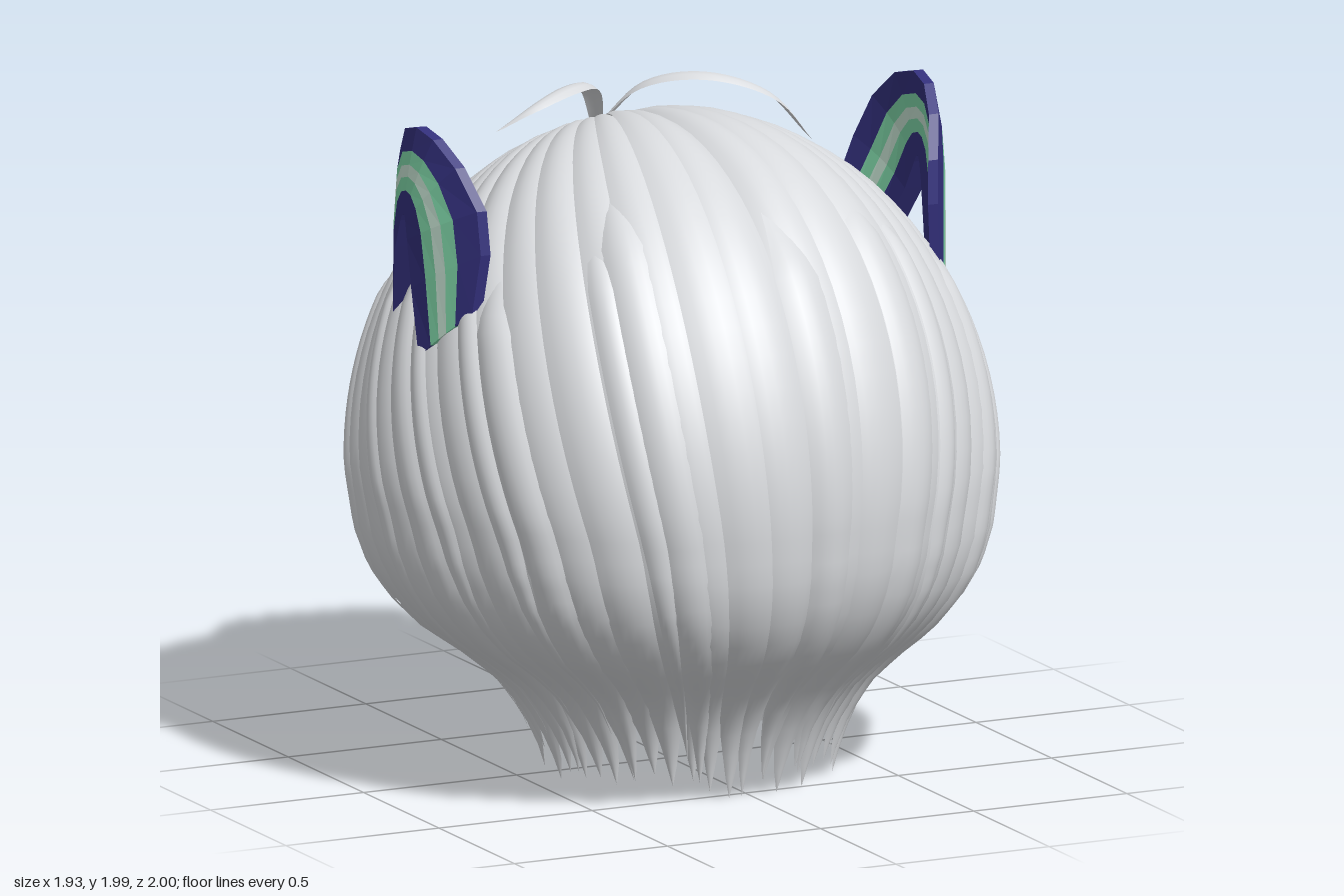
import * as THREE from 'three';
import { mergeGeometries } from 'three/addons/utils/BufferGeometryUtils.js';

const mat = (name, color) => {
  const m = new THREE.MeshStandardMaterial({ color, side: THREE.DoubleSide });
  m.name = name;
  return m;
};
const { lerp, smoothstep, clamp } = THREE.MathUtils;
const DEG = Math.PI / 180;

// small seeded random
let seed = 7;
const rand = () => (seed = (seed * 16807) % 2147483647) / 2147483647;

// linear lookup in a list of [input, output]
function lookup(table, x) {
  for (let i = 1; i < table.length; i++) {
    const [a, fa] = table[i - 1], [b, fb] = table[i];
    if (x <= b) return lerp(fa, fb, clamp((x - a) / (b - a), 0, 1));
  }
  return table[table.length - 1][1];
}

// radius factor by height below the widest ring
const TAPER = [[0, 0.45], [0.1, 0.47], [0.2, 0.51], [0.3, 0.58], [0.38, 0.68], [0.46, 0.8],
  [0.55, 0.89], [0.64, 0.95], [0.75, 0.985], [0.92, 1]];
// hem height by angle: 0 = nape, 180 = middle of the fringe
const HEM = [[0, 0.03], [116, 0.05], [120, 0.27], [138, 0.32], [147, 0.46], [157, 0.62], [168, 0.76], [180, 0.87]];

const MID = 0.92, SPLIT = 0.62;
const WHORL = new THREE.Vector3(0, 0.873, -0.488);
const offCentre = (th) => Math.abs(Math.atan2(Math.sin(th), Math.cos(th))) / DEG;
const frontness = (th) => smoothstep(offCentre(th), 110, 150);
const hemAt = (th) => lookup(HEM, offCentre(th));

// point on the hair: angle th, k = 0 at the whorl to 1 at the tip
function hairPoint(th, k, tip, lift) {
  const front = frontness(th), off = offCentre(th);
  const q = Math.min(1, k / SPLIT);
  // the fringe puffs out above the brow, the temples are drawn in
  const puff = smoothstep(off, 138, 172) * (0.08 * Math.sin(Math.PI * q) - 0.045 * q ** 4);
  const dent = 0.09 * q * Math.exp(-Math.pow((off - 138) / 15, 2));
  lift += puff - dent;
  th -= 0.18 * front * Math.pow(1 - k, 2);
  const p = new THREE.Vector3();
  if (k <= SPLIT) {
    const e = new THREE.Vector3(Math.sin(th), 0, Math.cos(th));
    const angle = WHORL.angleTo(e), a = angle * q;
    p.copy(WHORL).multiplyScalar(Math.sin(angle - a)).addScaledVector(e, Math.sin(a)).divideScalar(Math.sin(angle));
    const r = 1 + lift * Math.min(1, 0.15 + k * 3);
    const slim = 0.93 - 0.022 * Math.sin(Math.PI * q);
    return p.set(p.x * slim * r, MID + p.y * 1.01 * r, p.z * 0.96 * r);
  }
  const d = (k - SPLIT) / (1 - SPLIT);
  const y = lerp(MID, tip, d);
  let s = lookup(TAPER, y);
  s = lerp(s, 1 - (1 - s) * 0.7 - 0.1 * d * d, front);
  th -= (0.14 - 0.08 * front) * Math.sin(th) * (1 - Math.exp(-(MID - y) / 0.3));
  const r = s + lift;
  return p.set(Math.sin(th) * 0.93 * r, y, Math.cos(th) * 0.96 * r + 0.2 * (1 - s) * (1 - front));
}

// surface from a grid of points, rows running downward
function gridGeometry(rows, cols, fn) {
  const pos = [], index = [];
  for (let i = 0; i <= rows; i++)
    for (let j = 0; j <= cols; j++) pos.push(...fn(i / rows, j / cols).toArray());
  for (let i = 0; i < rows; i++)
    for (let j = 0; j < cols; j++) {
      const a = i * (cols + 1) + j, c = a + cols + 1;
      index.push(a, c, a + 1, a + 1, c, c + 1);
    }
  const g = new THREE.BufferGeometry();
  g.setAttribute('position', new THREE.Float32BufferAttribute(pos, 3));
  g.setIndex(index);
  g.computeVertexNormals();
  return g;
}

// one pointed, slightly domed lock of hair
function lock({ th, half, tip, lift = 0, bulge = 0.02, start = 0, tilt = 0.01, taper }) {
  const from = taper ?? lerp(0.9, 0.48, frontness(th));
  return gridGeometry(36, 6, (u, v) => {
    const k = lerp(start, 1, u), j = v * 2 - 1;
    let w = k > from ? Math.pow(1 - (k - from) / (1 - from), 0.8) : 1;
    if (start > 0) w *= Math.min(1, 0.08 + u * 7);
    const rise = start > 0 ? Math.min(1, u * 8) : 1;
    return hairPoint(th + j * half * w, k, tip, lift * rise + (bulge * (1 - j * j) + tilt * j) * w * rise);
  });
}

// tapered ribbon along a path, for loose strands
function ribbon(points, width) {
  const curve = new THREE.CatmullRomCurve3(points.map((p) => new THREE.Vector3(...p)));
  const up = new THREE.Vector3(0, 1, 0);
  return gridGeometry(24, 4, (u, v) => {
    const side = curve.getTangent(u).cross(up).normalize();
    const j = v * 2 - 1, w = width * Math.pow(Math.sin(Math.PI * lerp(0.12, 1, u)), 0.8);
    const p = curve.getPoint(u).addScaledVector(side, -j * w);
    p.y -= j * j * w * 0.5;
    return p;
  });
}

// ear arch: pairs of outer and inner edge points as [z, y, z, y]
const EAR = [[0.24, 1.47, 0.08, 1.32], [0.262, 1.65, 0.045, 1.52], [0.25, 1.78, 0.022, 1.66],
  [0.18, 1.9, 0.012, 1.71], [0.09, 1.97, 0.006, 1.73], [0, 1.99, 0, 1.735], [-0.1, 1.965, -0.01, 1.73],
  [-0.19, 1.88, -0.022, 1.71], [-0.25, 1.75, -0.07, 1.62], [-0.29, 1.61, -0.2, 1.38]];

// closed bar following the arch between width fractions v0 and v1
function earBand(v0, v1, side) {
  const corner = (row, v, face) => {
    const z = lerp(row[0], row[2], v), y = lerp(row[1], row[3], v);
    const x = 0.84 - 1.6 * z * z - 0.3 * Math.max(0, y - 1.68) ** 2 + face * (0.016 + 0.014 * v);
    return new THREE.Vector3(side * x, y, z);
  };
  const loop = [[v0, 1], [v1, 1], [v1, -1], [v0, -1], [v0, 1]];
  const n = EAR.length - 1;
  const order = side > 0 ? loop : [...loop].reverse();
  const body = gridGeometry(n, 4, (u, w) => corner(EAR[Math.round(u * n)], ...order[Math.round(w * 4)]));
  const cap = (row, flip) => gridGeometry(1, 1, (u, w) =>
    corner(row, u ? v1 : v0, (w ? 1 : -1) * flip * side));
  const g = mergeGeometries([body, cap(EAR[0], 1), cap(EAR[n], -1)]).toNonIndexed();
  g.computeVertexNormals();
  return g;
}

export function createModel() {
  const model = new THREE.Group();
  const hair = mat('silver hair', 0xd8dadd);
  const navy = mat('navy', 0x33307c);
  const mint = mat('mint', 0x7fd6a8);
  const pale = mat('pale mint', 0xc6e2d2);
  const add = (name, geo, material, parent = model) => {
    const m = new THREE.Mesh(geo, material);
    m.name = name;
    parent.add(m);
  };

  // smooth layer beneath the locks, open at the face
  add('underLayer', gridGeometry(40, 96, (u, v) => {
    const th = (v * 2 - 1) * Math.PI;
    return hairPoint(th, u * lerp(0.91, 0.46, frontness(th)), hemAt(th), -0.025);
  }), hair);

  // full ring of overlapping locks from the whorl to the hem
  const back = [], fringe = [];
  const N = 44;
  for (let i = 0; i < N; i++) {
    const th = ((i + 0.5) / N * 2 - 1) * Math.PI + (rand() - 0.5) * 0.04;
    const target = offCentre(th) > 118 ? fringe : back;
    target.push(lock({
      th, half: (4.8 + rand() * 1.4) * DEG, tip: Math.max(0.005, hemAt(th) + (rand() - 0.4) * 0.09),
      lift: rand() * 0.012, tilt: th > 0 ? 0.012 : -0.012,
    }));
  }
  add('backLocks', mergeGeometries(back), hair);

  // extra pointed locks over the fringe and face sides
  for (let i = 0; i < 13; i++) {
    const th = Math.PI + (i - 6) * 9.6 * DEG;
    fringe.push(lock({
      th, half: (3.5 + rand() * 2) * DEG, tip: hemAt(th) - 0.02 - rand() * 0.08,
      lift: 0.012, start: 0.04 + rand() * 0.1, taper: 0.48,
    }));
  }
  add('fringe', mergeGeometries(fringe), hair);

  // raised locks lying on the back and sides
  const raised = [[-25, 0.25], [3, 0.31], [22, 0.27], [-52, 0.34], [50, 0.34], [-78, 0.3], [75, 0.3]].map(([deg, start]) =>
    lock({ th: deg * DEG, half: 4 * DEG, tip: 0.06, lift: 0.022, bulge: 0.02, start, tilt: 0 }));
  add('raisedLocks', mergeGeometries(raised), hair);

  // thin loose strands around the lower sides
  const loose = [];
  for (const s of [-1, 1])
    for (const deg of [30, 58, 72, 90, 106, 124])
      loose.push(lock({
        th: s * deg * DEG, half: 2.4 * DEG, tip: 0.13 + rand() * 0.12, lift: 0.027,
        bulge: 0.012, start: 0.3, tilt: 0, taper: 0.65,
      }));
  add('looseStrands', mergeGeometries(loose), hair);

  // two springy strands rising from the whorl, and a lock swept across the brow
  add('leftCrownStrand', ribbon([[0, 1.81, -0.48], [0.1, 1.95, -0.38], [0.25, 1.985, -0.28],
    [0.43, 1.92, -0.21], [0.57, 1.76, -0.21]], 0.035), hair);
  add('rightCrownStrand', ribbon([[0, 1.81, -0.48], [-0.08, 1.96, -0.37], [-0.2, 1.99, -0.27],
    [-0.34, 1.96, -0.21], [-0.46, 1.89, -0.22]], 0.035), hair);
  add('sweptLock', ribbon([[0.02, 1.83, -0.5], [0.22, 1.75, -0.66], [0.42, 1.6, -0.69],
    [0.58, 1.42, -0.58]], 0.06), hair);

  // striped arched ears
  const bands = [['outerRim', 0, 0.27, navy], ['outerStripe', 0.27, 0.43, mint], ['middleStripe', 0.43, 0.57, pale],
    ['innerStripe', 0.57, 0.73, mint], ['innerRim', 0.73, 1, navy]];
  for (const [name, side] of [['leftEar', 1], ['rightEar', -1]]) {
    const ear = new THREE.Group();
    ear.name = name;
    for (const [part, v0, v1, m] of bands) add(part, earBand(v0, v1, side), m, ear);
    model.add(ear);
  }
  return model;
}
